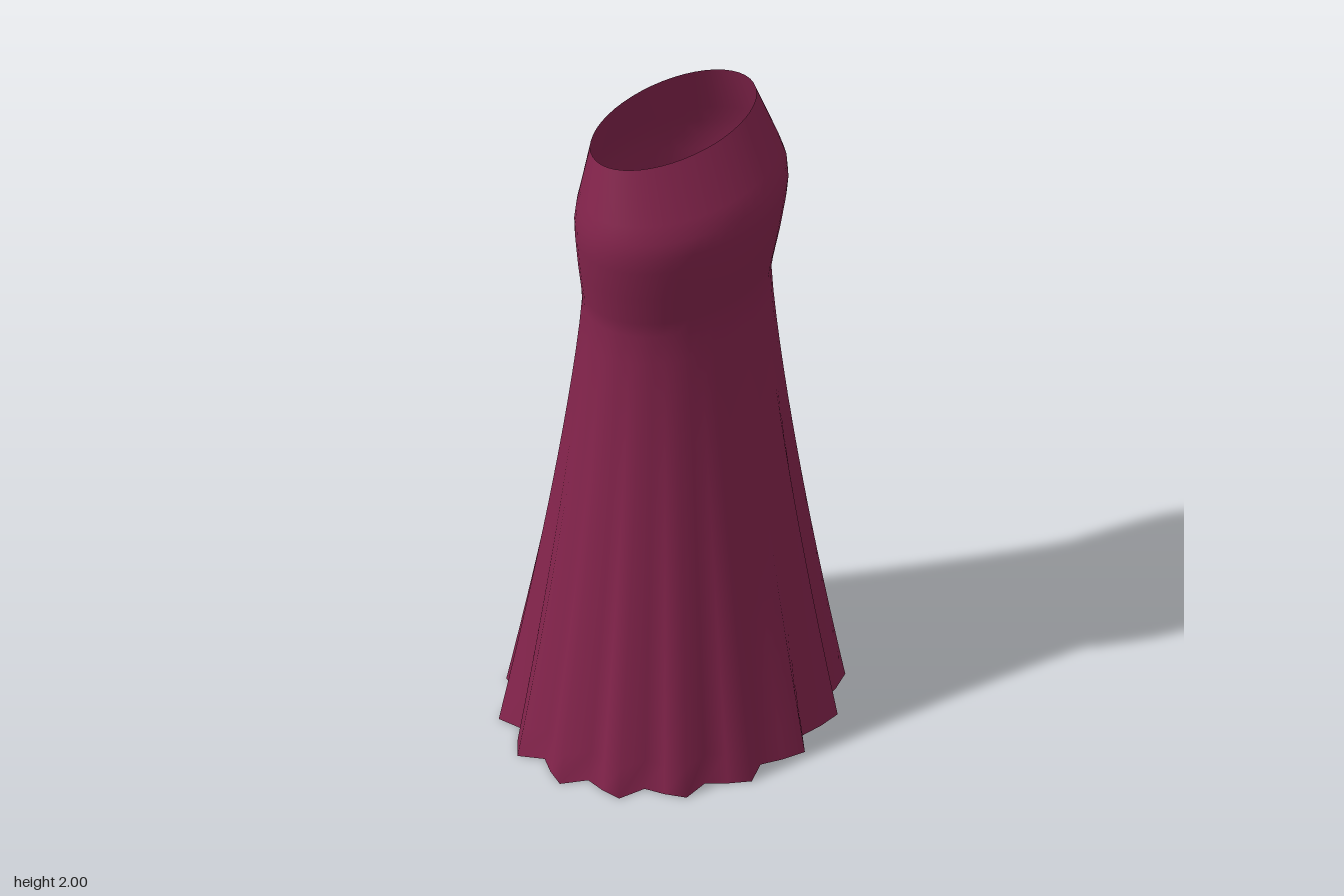
import * as THREE from 'three';

const SEGMENTS = 48;
const PLEATS = 16;
const HIP_Y = 1.45;

// Cross-sections from hem to waist: [y, half width, half depth, z centre, pleat depth]
function crossSections() {
  const rings = [];
  const steps = 16;
  for (let i = 0; i <= steps; i++) {
    const t = 1 - i / steps; // 1 at the hem, 0 under the hips
    rings.push([
      HIP_Y * (1 - t),
      0.303 + 0.187 * Math.pow(t, 1.33),
      0.222 + 0.206 * Math.pow(t, 1.2),
      0.018 * (1 - t),
      0.066 * t,
    ]);
  }
  // Hips and waistband
  rings.push(
    [1.5, 0.309, 0.226, 0.021, 0],
    [1.6, 0.329, 0.235, 0.028, 0],
    [1.7, 0.345, 0.242, 0.034, 0],
    [1.75, 0.349, 0.244, 0.036, 0],
    [1.8, 0.345, 0.238, 0.037, 0],
    [1.85, 0.333, 0.22, 0.031, 0],
    [2.0, 0.291, 0.16, 0.005, 0],
  );
  return rings;
}

// Skin closed rings into one smooth open tube
function skirtGeometry() {
  const rings = crossSections();
  const positions = [];
  const indices = [];
  rings.forEach(([y, rx, rz, cz, depth], i) => {
    for (let j = 0; j < SEGMENTS; j++) {
      const a = (j / SEGMENTS) * Math.PI * 2;
      const r = 1 - depth * Math.sin(PLEATS * a);
      positions.push(rx * r * Math.cos(a), y, cz + rz * r * Math.sin(a));
      if (i === rings.length - 1) continue;
      const k = (j + 1) % SEGMENTS;
      const low = i * SEGMENTS;
      const up = low + SEGMENTS;
      indices.push(low + j, up + j, low + k, low + k, up + j, up + k);
    }
  });
  const geometry = new THREE.BufferGeometry();
  geometry.setAttribute('position', new THREE.Float32BufferAttribute(positions, 3));
  geometry.setIndex(indices);
  geometry.computeVertexNormals();
  return geometry;
}

export function createModel() {
  const group = new THREE.Group();
  group.name = 'longSkirt';
  const fabric = new THREE.MeshStandardMaterial({ color: 0x84244c, side: THREE.DoubleSide });
  fabric.name = 'burgundy fabric';
  const skirt = new THREE.Mesh(skirtGeometry(), fabric);
  skirt.name = 'pleatedSkirt';
  group.add(skirt);
  return group;
}
